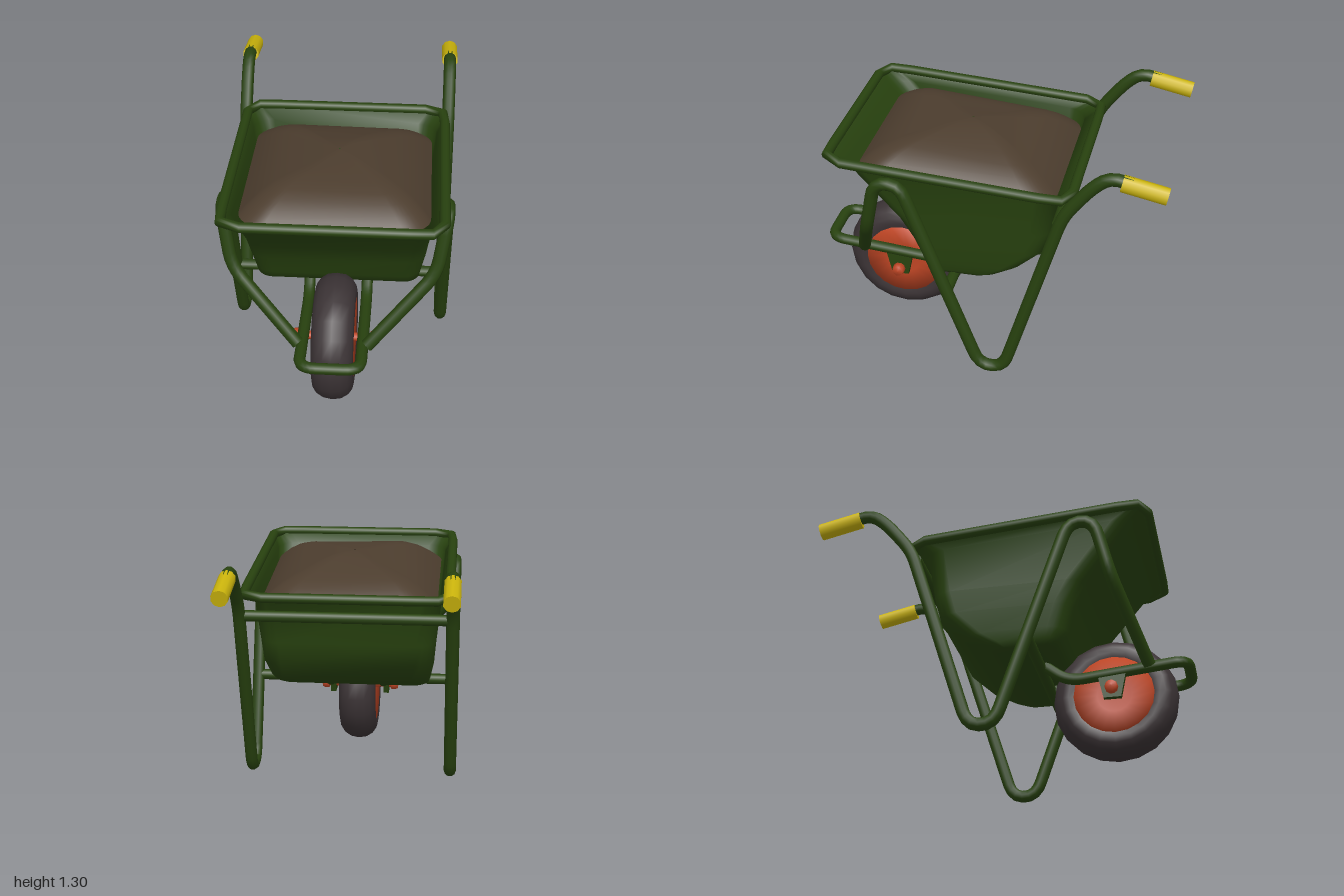
import * as THREE from 'three';

const mat = (name, color, side = THREE.FrontSide) => {
  const m = new THREE.MeshStandardMaterial({ color, side });
  m.name = name;
  return m;
};
const V = (x, y, z) => new THREE.Vector3(x, y, z);

// Tube along a polyline whose inner corners are rounded
function bentTube(pts, radius, bend, closed = false) {
  const path = new THREE.CurvePath();
  const n = pts.length;
  let last = closed ? null : pts[0];
  let first = null;
  for (let i = closed ? 0 : 1; i < (closed ? n : n - 1); i++) {
    const a = pts[(i + n - 1) % n], p = pts[i], b = pts[(i + 1) % n];
    const cut = q => p.clone().lerp(q, Math.min(bend / p.distanceTo(q), 0.48));
    const p0 = cut(a), p1 = cut(b);
    if (last) path.add(new THREE.LineCurve3(last, p0));
    else first = p0;
    path.add(new THREE.QuadraticBezierCurve3(p0, p, p1));
    last = p1;
  }
  path.add(new THREE.LineCurve3(last, closed ? first : pts[n - 1]));
  return new THREE.TubeGeometry(path, Math.max(1, n * 10), radius, 10, closed);
}

// Rounded rectangle section; y may vary from back to front
function section(back, front, half, r, yAt, n = 5) {
  const out = [];
  const mid = (back + front) / 2, len = (front - back) / 2;
  for (let c = 0; c < 4; c++) {
    const sx = c === 0 || c === 3 ? 1 : -1, sz = c < 2 ? 1 : -1;
    for (let j = 0; j <= n; j++) {
      const a = (c + j / n) * Math.PI / 2;
      const z = mid + sz * (len - r) + r * Math.sin(a);
      out.push(V(sx * (half - r) + r * Math.cos(a), yAt(z), z));
    }
  }
  return out;
}

// Skin through closed sections
function loft(rings) {
  const n = rings[0].length, pos = [], idx = [];
  rings.forEach(r => r.forEach(p => pos.push(p.x, p.y, p.z)));
  for (let i = 0; i < rings.length - 1; i++) {
    for (let j = 0; j < n; j++) {
      const a = i * n + j, b = i * n + (j + 1) % n;
      idx.push(a, a + n, b, b, a + n, b + n);
    }
  }
  const g = new THREE.BufferGeometry();
  g.setAttribute('position', new THREE.Float32BufferAttribute(pos, 3));
  g.setIndex(idx);
  g.computeVertexNormals();
  return g;
}

export function createModel() {
  const green = mat('green paint', 0x28420f, THREE.DoubleSide);
  const yellow = mat('yellow grip', 0xcbb40c);
  const rubber = mat('dark rubber', 0x3b3335);
  const orange = mat('orange hub', 0xbe4524);
  const soil = mat('brown soil', 0x4c3d2e, THREE.DoubleSide);

  const model = new THREE.Group();
  model.name = 'wheelbarrow';
  const body = new THREE.Group();
  body.name = 'barrow';
  body.rotation.y = Math.PI / 4; // the barrow points along the diagonal
  model.add(body);
  const add = (name, geo, material) => {
    const m = new THREE.Mesh(geo, material);
    m.name = name;
    body.add(m);
    return m;
  };

  // Tub: [y, back, front, half width, corner radius]
  const rimY = z => 1.09 + 0.09 * (z + 0.375) / 1.24;
  const rings = [
    [0.50, 0.20, 0.24, 0.36, 0.01],
    [0.50, 0.06, 0.36, 0.40, 0.07],
    [0.525, 0.0, 0.40, 0.42, 0.08],
    [0.58, -0.11, 0.43, 0.43, 0.1],
    [0.70, -0.235, 0.47, 0.45, 0.1],
    [0.82, -0.265, 0.535, 0.46, 0.1],
  ].map(([y, b, f, s, r]) => section(b, f, s, r, () => y));
  rings.push(section(-0.295, 0.78, 0.485, 0.1, z => rimY(z) - 0.05));
  rings.push(section(-0.375, 0.865, 0.525, 0.08, rimY));
  add('tub', loft(rings), green);
  add('tubFloor', new THREE.BoxGeometry(0.74, 0.01, 0.1).translate(0, 0.505, 0.22), green);

  // Rolled rim
  const rimPts = [[0.525, 0.865], [-0.525, 0.865], [-0.525, -0.375], [0.525, -0.375]]
    .map(([x, z]) => V(x, rimY(z), z));
  add('rim', bentTube(rimPts, 0.026, 0.09, true), green);

  // Heap of soil
  const heap = [1, 0.95, 0.88, 0.78, 0.66, 0.52, 0.38, 0.24, 0.12, 0.01].map(t =>
    section(-0.285, 0.735, 0.462, 0.13, () => 0, 8).map(p => {
      const x = p.x * t, z = 0.225 + (p.z - 0.225) * t;
      const lump = 0.022 * Math.sin(x * 9 + 1) * Math.cos(z * 7 - 1.2) * (1 - t * t);
      return V(x, 1.0 + 0.09 * (z + 0.28) + 0.15 * (1 - Math.pow(t, 3)) + lump, z);
    }));
  add('soilHeap', loft(heap), soil);

  // Side frames: handle, leg, arch and front strut in one bent tube
  const S = 0.545;
  const handleEnd = [1.205, -0.85], handleBend = [1.275, -0.575];
  for (const side of [1, -1]) {
    const label = side > 0 ? 'left' : 'right';
    const pts = [
      [S, 1.25, -0.68], [S, ...handleBend], [S, 1.21, -0.49], [S, 1.03, -0.35],
      [S, 0.033, -0.045], [S, 0.033, 0.085],
      [S, 1.095, 0.47], [S, 1.095, 0.60], [0.50, 0.80, 0.67], [0.17, 0.44, 0.81],
    ].map(([x, y, z]) => V(x * side, y, z));
    add(label + 'Frame', bentTube(pts, 0.033, 0.08), green);

    // Hand grip
    const a = V(side * S, ...handleEnd), b = V(side * S, 1.252, -0.63);
    const grip = add(label + 'Grip', new THREE.CylinderGeometry(0.043, 0.043, a.distanceTo(b), 10), yellow);
    grip.position.copy(a).lerp(b, 0.5);
    grip.quaternion.setFromUnitVectors(V(0, 1, 0), b.clone().sub(a).normalize());

    // Axle bracket
    const shape = new THREE.Shape([[-0.075, 0.42], [-0.045, 0.28], [0.045, 0.28], [0.075, 0.42]]
      .map(([x, y]) => new THREE.Vector2(x, y)));
    const plate = new THREE.ExtrudeGeometry(shape, { depth: 0.03, bevelEnabled: false });
    plate.translate(0, 0, -0.015).rotateY(Math.PI / 2).translate(side * 0.155, 0, 0.615);
    add(label + 'Bracket', plate, green);
  }

  // Cross bars between the side frames
  for (const [name, y, z] of [['lowerCrossBar', 0.48, 0.25], ['rearCrossBar', 0.98, -0.325]]) {
    add(name, new THREE.CylinderGeometry(0.029, 0.029, 2 * S, 10).rotateZ(Math.PI / 2).translate(0, y, z), green);
  }

  // Fork that runs round the wheel and forms the bumper
  const half = [[0.15, 0.49, 0.27], [0.15, 0.395, 0.39], [0.15, 0.435, 0.80], [0.15, 0.455, 1.005]];
  const fork = [...half.map(p => V(...p)), ...half.slice().reverse().map(([x, y, z]) => V(-x, y, z))];
  add('forkAndBumper', bentTube(fork, 0.029, 0.08), green);

  // Wheel: lathed parts turned onto the axle
  const wheelPart = (name, profile, sides, material) => {
    const pts = [...profile, ...profile.slice().reverse().filter(p => p[1] !== 0).map(([r, h]) => [r, -h])];
    const g = new THREE.LatheGeometry(pts.map(([r, h]) => new THREE.Vector2(r, h)), sides);
    add(name, g.rotateZ(Math.PI / 2).translate(0, 0.325, 0.615), material);
  };
  wheelPart('tyre', [[0.205, -0.098], [0.235, -0.106], [0.265, -0.1], [0.295, -0.08], [0.317, -0.045], [0.325, 0]], 20, rubber);
  wheelPart('wheelDisc', [[0, -0.09], [0.09, -0.088], [0.208, -0.101]], 20, orange);
  wheelPart('axle', [[0, -0.225], [0.028, -0.222], [0.034, -0.205], [0.034, -0.185], [0.022, -0.178], [0.022, 0]], 10, orange);

  return model;
}
